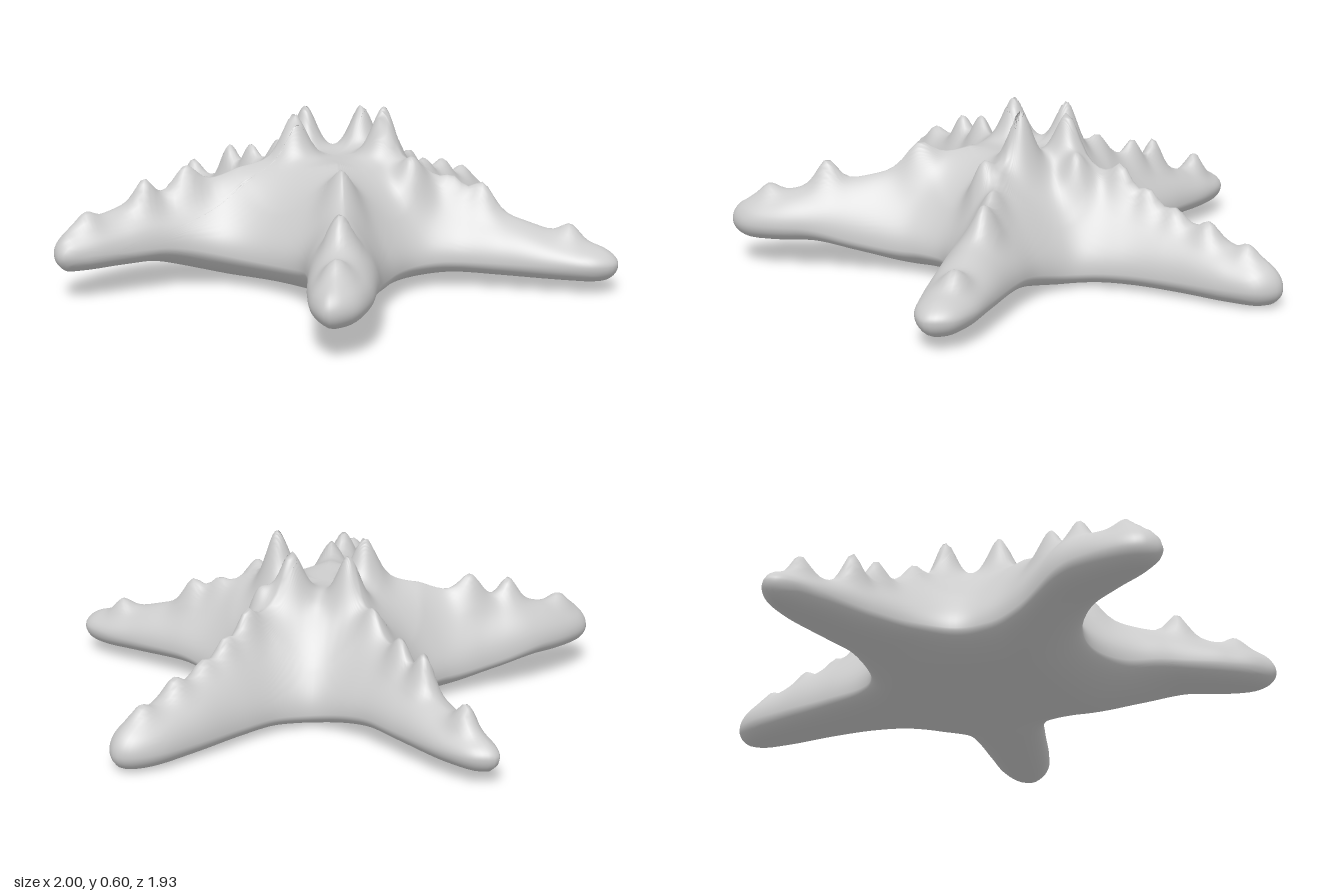
import * as THREE from 'three';

// Plan outline of the five arms as x, z pairs, starting at the back arm tip
const OUTLINE = [
  0, -.97, .07, -.92, .1, -.8, .115, -.6, .15, -.42, .22, -.28, .35, -.23, .5, -.235, .7, -.27,
  .85, -.295, .95, -.28, 1, -.21, .96, -.14, .85, -.08, .65, 0, .5, .07, .42, .16, .41, .28,
  .45, .42, .55, .6, .63, .76, .65, .88, .6, .96, .52, .93, .43, .83, .3, .65, .18, .54,
  0, .495, -.14, .52, -.25, .6, -.355, .76, -.435, .9, -.5, .965, -.57, .92, -.585, .8, -.55, .62,
  -.45, .43, -.4, .28, -.41, .17, -.5, .06, -.65, -.02, -.85, -.09, -.96, -.14, -1, -.19,
  -.95, -.245, -.82, -.265, -.6, -.245, -.4, -.225, -.25, -.25, -.18, -.34, -.15, -.5,
  -.13, -.7, -.1, -.87, -.05, -.95,
];

// Spikes: x, z, tip height, radius
const SPIKES = [
  [.16, -.02, .61, .058], [-.17, 0, .58, .055], [-.09, .18, .59, .058], [0, -.11, .585, .058],
  [.08, -.2, .45, .05], [.32, .04, .45, .055], [.25, .37, .46, .06], [-.33, .5, .43, .055],
  [-.4, .64, .4, .045], [-.49, .84, .31, .045], [.43, .65, .4, .05], [.54, .83, .31, .045],
  [.42, -.07, .385, .045], [.52, -.11, .365, .05], [.82, -.2, .24, .045],
  [-.33, -.04, .43, .045], [-.5, -.09, .38, .045], [-.62, -.11, .36, .045], [-.85, -.17, .26, .045],
  [0, -.34, .43, .045], [0, -.45, .355, .04], [0, -.56, .3, .04], [0, -.69, .275, .045], [0, -.84, .22, .04],
];

const CENTRE = new THREE.Vector2(0, .07);
const COUNT = 400, RINGS = 56;
const { smoothstep: smooth, lerp, clamp } = THREE.MathUtils;

// Piecewise linear lookup of a value by distance from the centre
function lookup(keys, r) {
  for (let i = 1; i < keys.length; i++) {
    const [r0, v0] = keys[i - 1], [r1, v1] = keys[i];
    if (r <= r1) return lerp(v0, v1, (r - r0) / (r1 - r0));
  }
  return keys[keys.length - 1][1];
}
const RIDGE = [[0, .43], [.2, .44], [.35, .395], [.5, .315], [.65, .255], [.8, .21], [.92, .18], [1.07, .16]];
const HALF_WIDTH = [[0, .36], [.2, .3], [.35, .22], [.5, .16], [.7, .125], [.9, .1], [1.07, .08]];

const radius = (x, z) => Math.hypot(x - CENTRE.x, z - CENTRE.y);

// Underside: low at the back of the body, raised towards the sides and the front arms
const bottomY = (x, z) => .01 + .018 * Math.exp(-(x * x + z * z) / .04)
  - .012 * Math.exp(-((z + .22) ** 2 + (Math.abs(x) - .17) ** 2) / .015)
  + .038 * smooth(Math.abs(x), .2, .5) * (1 - smooth(z, .25, .55)) + .098 * smooth(z, .3, .68);
const rimY = (x, z) => bottomY(x, z) + .065;

// Rounded cross-sections, where q runs from 0 at the rim to 1 at the ridge
const circle = (q) => Math.sqrt(1 - (1 - Math.min(1, q)) ** 2);
function topFullness(q, r) {
  const slope = Math.sin(Math.min(1, q) * Math.PI / 2) ** 2;
  return lerp(slope, circle(q), lerp(.62, .92, smooth(r, .4, .75)));
}
function topY(x, z, q) {
  const r = radius(x, z);
  const ridge = lookup(RIDGE, r) + .09 * smooth(z, .15, .75);
  return lerp(rimY(x, z), ridge, topFullness(q, r));
}

function createBody(material) {
  const points = [];
  for (let i = 0; i < OUTLINE.length; i += 2) points.push(new THREE.Vector3(OUTLINE[i], 0, OUTLINE[i + 1]));
  const rim = new THREE.CatmullRomCurve3(points, true).getSpacedPoints(COUNT).slice(0, COUNT);

  // Distance to the outline as a share of the local half width
  const inset = (x, z) => {
    let best = Infinity;
    rim.forEach((p, i) => {
      const n = rim[(i + 1) % COUNT], ex = n.x - p.x, ez = n.z - p.z;
      const t = clamp(((x - p.x) * ex + (z - p.z) * ez) / (ex * ex + ez * ez), 0, 1);
      best = Math.min(best, (p.x + ex * t - x) ** 2 + (p.z + ez * t - z) ** 2);
    });
    return Math.sqrt(best) / lookup(HALF_WIDTH, radius(x, z));
  };
  const spikes = SPIKES.map(([x, z, y, size]) => (
    { x, z, size, rise: Math.max(.02, y - topY(x, z, inset(x, z))) }
  ));

  // Rings run from the top centre out to the rim and back under to the bottom centre
  const position = [], index = [], last = RINGS * 2;
  const addVertex = (x, z, k) => {
    const q = k === RINGS ? 0 : inset(x, z);
    let y;
    if (k <= RINGS) {
      y = topY(x, z, q);
      for (const s of spikes) {
        const d = Math.hypot(x - s.x, z - s.z) / s.size;
        if (d < 3) y += s.rise * Math.exp(-(d ** 1.9)) * Math.min(1, q * 2);
      }
    } else {
      y = lerp(rimY(x, z), bottomY(x, z), circle(q * 1.15));
    }
    position.push(x, y, z);
  };
  addVertex(CENTRE.x, CENTRE.y, 0);
  for (let k = 1; k < last; k++) {
    const s = Math.sin(Math.PI / 2 * (1 - Math.abs(k - RINGS) / RINGS));
    for (const p of rim) addVertex(lerp(CENTRE.x, p.x, s), lerp(CENTRE.y, p.z, s), k);
  }
  addVertex(CENTRE.x, CENTRE.y, last);

  const id = (k, i) => k === 0 ? 0 : k === last ? 1 + (last - 1) * COUNT : 1 + (k - 1) * COUNT + i % COUNT;
  for (let k = 0; k < last; k++) {
    for (let i = 0; i < COUNT; i++) {
      const a = id(k, i), b = id(k, i + 1), c = id(k + 1, i), d = id(k + 1, i + 1);
      if (k > 0) index.push(a, b, d);
      if (k < last - 1) index.push(a, d, c);
    }
  }

  const geometry = new THREE.BufferGeometry();
  geometry.setAttribute('position', new THREE.Float32BufferAttribute(position, 3));
  geometry.setIndex(index);
  geometry.computeVertexNormals();
  const mesh = new THREE.Mesh(geometry, material);
  mesh.name = 'spikedStarBody';
  return mesh;
}

export function createModel() {
  const skin = new THREE.MeshStandardMaterial({ color: 0xcccccc });
  skin.name = 'paleGrey';
  const group = new THREE.Group();
  group.name = 'starfish';
  group.add(createBody(skin));
  return group;
}
